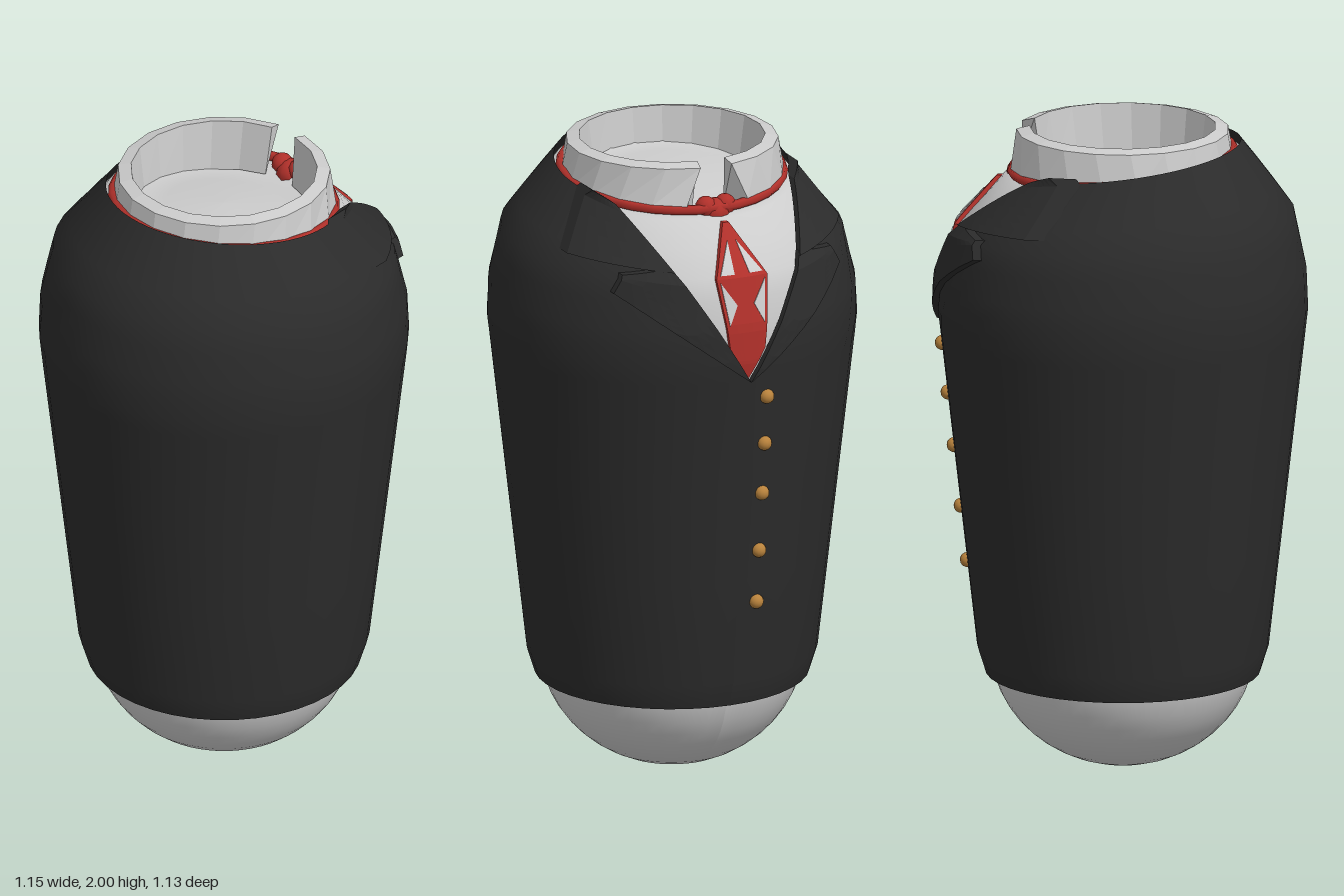
import * as THREE from 'three';

const lerp = THREE.MathUtils.lerp;
const DARK = 0x2b2b2b, RED = 0xb0302a, GOLD = 0xb8823c, GREY = 0xcccccc;

// Piecewise-linear lookup through [key, value] pairs
function lookup(table, k) {
  if (k <= table[0][0]) return table[0][1];
  for (let i = 1; i < table.length; i++) {
    const [k0, v0] = table[i - 1], [k1, v1] = table[i];
    if (k <= k1) return lerp(v0, v1, (k - k0) / (k1 - k0));
  }
  return table[table.length - 1][1];
}

// Jacket outline (height, radius); the neckline dips towards the chest (+x)
const OUTLINE = [[0.29, 0.42], [0.37, 0.445], [1.43, 0.565], [1.55, 0.56], [1.715, 0.522], [1.913, 0.36]];
const radius = y => lookup(OUTLINE, y);
const dip = y => lookup([[1.45, 0], [1.715, 0.05], [1.913, 0.128]], y);

// Point on the chest at a given z and y, pushed outwards by off
function onChest(z, y, off) {
  let x = 0.4;
  for (let i = 0; i < 20; i++) {
    const r = radius(y + x * dip(y)) + off;
    x = Math.sqrt(Math.max(r * r - z * z, 0));
  }
  return new THREE.Vector3(x, y, z);
}

function material(color, flat = false, side = THREE.FrontSide) {
  return new THREE.MeshStandardMaterial({ color, flatShading: flat, side });
}

function add(parent, name, geometry, mat) {
  const mesh = new THREE.Mesh(geometry, mat);
  mesh.name = name;
  parent.add(mesh);
  return mesh;
}

// Box whose points (u, v, w in 0..1) are moved by a rule
function warpedBox(nu, nv, rule) {
  const g = new THREE.BoxGeometry(1, 1, 1, nu, nv, 1);
  const p = g.attributes.position;
  for (let i = 0; i < p.count; i++) {
    const q = rule(p.getX(i) + 0.5, p.getY(i) + 0.5, p.getZ(i) + 0.5);
    p.setXYZ(i, q.x, q.y, q.z);
  }
  g.computeVertexNormals();
  return g;
}

// Thin slab lying on the chest; corners are [z, y], bottom-left first, anticlockwise
function patch([bl, br, tr, tl], low, high) {
  return warpedBox(8, 8, (u, v, w) => {
    const at = k => lerp(lerp(bl[k], br[k], u), lerp(tl[k], tr[k], u), v);
    return onChest(at(0), at(1), lerp(low, high, w));
  });
}

// Round shell from [radius, height] rows, with a front opening of half-angle open(y)
function shell(rows, open, seg = 40) {
  const pos = [], index = [];
  rows.forEach(([r, y], j) => {
    const a = open(y);
    for (let i = 0; i <= seg; i++) {
      const t = lerp(a, 2 * Math.PI - a, i / seg);
      const x = r * Math.cos(t);
      pos.push(x, y - x * dip(y), r * Math.sin(t));
      if (j && i) {
        const d = j * (seg + 1) + i, c = d - 1, b = d - seg - 1, e = b - 1;
        index.push(e, c, b, b, c, d);
      }
    }
  });
  const g = new THREE.BufferGeometry();
  g.setAttribute('position', new THREE.Float32BufferAttribute(pos, 3));
  g.setIndex(index);
  g.computeVertexNormals();
  return g;
}

export function createModel() {
  const model = new THREE.Group();
  model.name = 'suitedBody';

  // Body: rounded base, shirt under the jacket, shallow dome inside the collar
  const bodyRows = [];
  for (let i = 0; i <= 12; i++) {
    const a = (i / 12) * Math.PI / 2;
    bodyRows.push([0.405 * Math.sin(a), 0.37 - 0.37 * Math.cos(a)]);
  }
  for (const y of [0.6, 1.0, 1.43, 1.55, 1.64, 1.715, 1.8, 1.88]) bodyRows.push([radius(y) - 0.02, y]);
  bodyRows.push([0.29, 1.885], [0.27, 1.86], [0.18, 1.87], [0.09, 1.877], [0, 1.88]);
  add(model, 'body', shell(bodyRows, () => 0, 48), material(GREY, false, THREE.DoubleSide));

  // Jacket with the V-shaped front opening
  const opening = y => lookup([[1.37, 0], [1.715, 0.41], [1.913, 1.0]], y);
  const jacketRows = [0.29, 0.37, 0.7, 1.0, 1.37, 1.43, 1.49, 1.55, 1.64, 1.715, 1.78, 1.85, 1.913]
    .map(y => [radius(y), y]);
  add(model, 'jacket', shell(jacketRows, opening), material(DARK, false, THREE.DoubleSide));

  // Notched lapels, mirrored across the chest
  const cloth = material(DARK, true);
  const upper = patch([[0.457, 1.745], [0.21, 1.72], [0.3, 1.885], [0.345, 1.915]], -0.005, 0.024);
  const lower = patch([[0.38, 1.655], [0, 1.37], [0.215, 1.73], [0.35, 1.71]], -0.005, 0.018);
  for (const [side, sign] of [['left', 1], ['right', -1]]) {
    add(model, side + 'UpperLapel', upper, cloth).scale.z = sign;
    add(model, side + 'LowerLapel', lower, cloth).scale.z = sign;
  }

  // Shirt collar: open ring with slanted points at the front
  const collar = warpedBox(18, 1, (u, v, w) => {
    const gap = lerp(lerp(0.2, 0.3, w), 0.16, v);
    const t = lerp(2 * Math.PI - gap, gap, u);
    const r = lerp(lerp(0.265, 0.345, w), lerp(0.285, 0.325, w), v);
    const y = lerp(lerp(1.84, 1.875, w), lerp(2.0, 1.99, w), v);
    return new THREE.Vector3(r * Math.cos(t), y, r * Math.sin(t));
  });
  add(model, 'shirtCollar', collar, material(GREY, true));

  // Tie: neck band, knot and hanging blade
  const tie = new THREE.Group();
  tie.name = 'tie';
  model.add(tie);
  const red = material(RED), redFlat = material(RED, true);
  const band = add(tie, 'tieBand', new THREE.TorusGeometry(0.34, 0.015, 6, 32).rotateX(Math.PI / 2), red);
  band.position.y = 1.895;
  band.rotation.z = -0.1;
  for (const [z, y, s] of [[0, 1.842, 1], [0.032, 1.862, 0.75], [-0.032, 1.862, 0.75]]) {
    const lobe = add(tie, 'tieKnot', new THREE.SphereGeometry(0.045, 10, 8), red);
    lobe.position.set(0.315, y, z);
    lobe.scale.setScalar(s);
  }
  const outline = [[0.01, 1.83], [0.085, 1.69], [0.058, 1.47], [0.004, 1.38]];
  for (let i = 1; i < outline.length; i++) {
    const [[zt, yt], [zb, yb]] = [outline[i - 1], outline[i]];
    add(tie, 'tieBlade', patch([[zb, yb], [-zb, yb], [-zt, yt], [zt, yt]], -0.03, -0.008), redFlat);
  }

  // Shirt facets showing through the blade
  const facets = [
    [[0.07, 1.7], [0.025, 1.7], [0.014, 1.785], [0.014, 1.785]],
    [[0.058, 1.55], [0.028, 1.61], [0.074, 1.68], [0.074, 1.68]],
  ];
  for (const corners of facets) {
    const g = patch(corners, -0.02, -0.005);
    for (const sign of [1, -1]) add(tie, 'tieShirtFacet', g, material(GREY, true)).scale.z = sign;
  }

  // Buttons down one side of the closure
  for (const y of [1.31, 1.155, 0.99, 0.8, 0.63]) {
    const button = add(model, 'button', new THREE.SphereGeometry(0.023, 14, 10), material(GOLD));
    button.position.copy(onChest(-0.065, y, 0));
  }
  return model;
}
